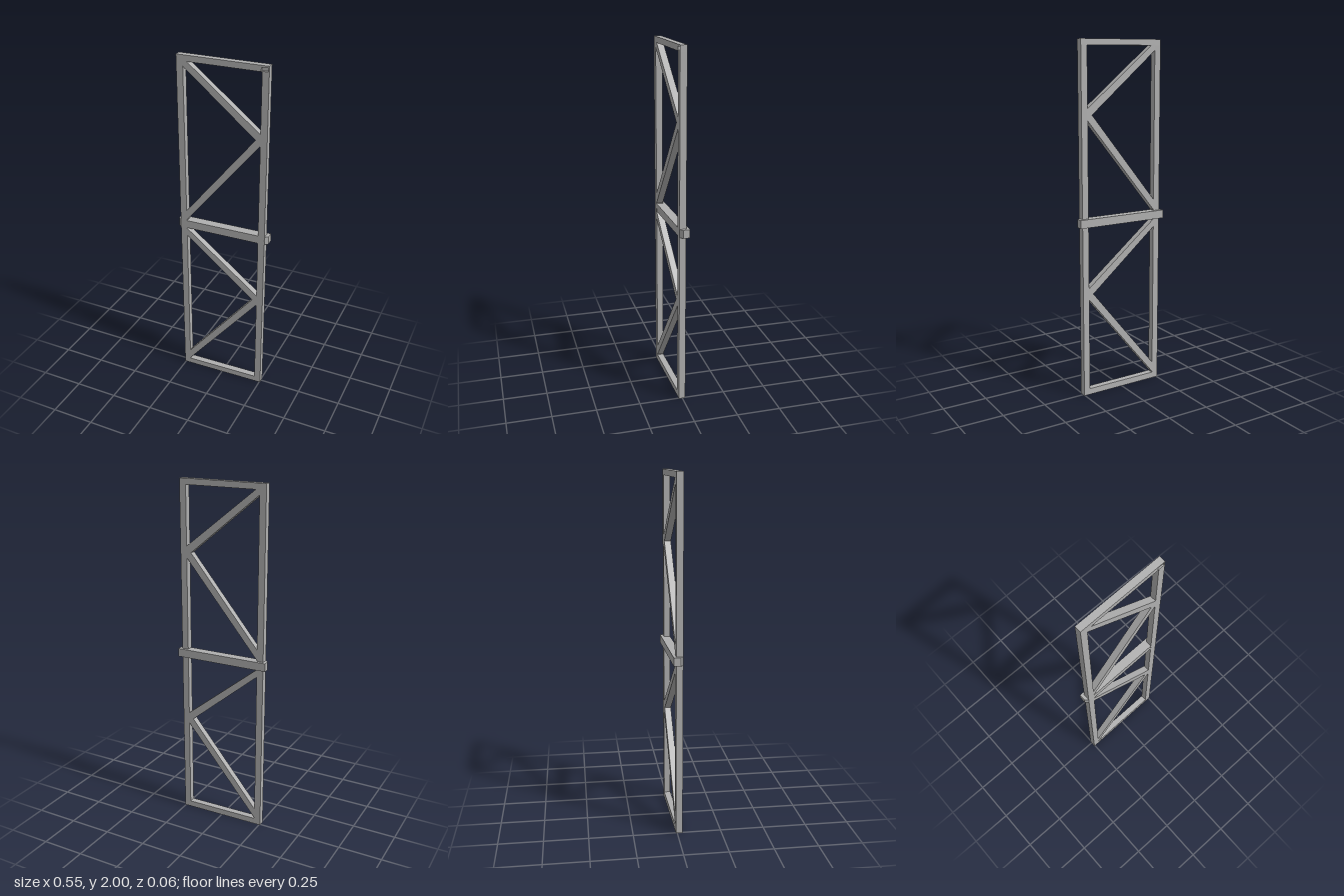
import * as THREE from 'three';

const FRONT = 0.0255, DEPTH = 0.0375;

export function createModel() {
  const grey = new THREE.MeshStandardMaterial({ color: 0xb0b0b0 });
  grey.name = 'steel grey';
  const model = new THREE.Group();
  model.name = 'bracedFrame';

  const toShape = (pts) => new THREE.Shape(pts.map(([x, y]) => new THREE.Vector2(x, y)));
  const rect = (x0, y0, x1, y1) => [[x0, y0], [x1, y0], [x1, y1], [x0, y1]];

  function add(name, geometry) {
    const mesh = new THREE.Mesh(geometry, grey);
    mesh.name = name;
    model.add(mesh);
  }

  // Flat bar cut from a front outline, with the frame's common depth
  function bar(name, pts, hole) {
    const shape = toShape(pts);
    if (hole) shape.holes.push(toShape(hole));
    const g = new THREE.ExtrudeGeometry(shape, { depth: DEPTH, bevelEnabled: false });
    g.translate(0, 0, FRONT - DEPTH);
    add(name, g);
  }

  // Posts and end rails
  bar('rightPost', rect(-0.256, 0, -0.218, 1.967));
  bar('leftPost', rect(0.217, 0, 0.255, 1.967));
  bar('bottomRail', rect(-0.218, 0, 0.217, 0.035));
  const socket = rect(0.212, 1.97, 0.25, 1.99);
  bar('topRail', rect(-0.256, 1.967, 0.255, 2), socket);

  // Floor of the small socket in the top corner
  const floor = new THREE.BoxGeometry(0.038, 0.02, 0.024);
  floor.translate(0.231, 1.98, FRONT - DEPTH + 0.012);
  add('socketFloor', floor);

  // Two bays of diagonal braces meeting at the left post
  for (const y of [0, 1]) {
    const lift = (pts) => pts.map(([px, py]) => [px, py + y]);
    bar('upperBrace', lift([[-0.218, 0.985], [-0.218, 0.94], [0.19, 0.6], [0.217, 0.6], [0.217, 0.635]]));
    bar('lowerBrace', lift([[-0.218, 0.1], [-0.218, 0.04], [0.217, 0.57], [0.217, 0.6], [0.19, 0.6]]));
  }

  // Middle rail, projecting behind and past the posts with chamfered ends
  const plan = [[-0.274, 0.028], [-0.274, -0.01], [-0.256, -0.025], [0.256, -0.025], [0.274, -0.01], [0.274, 0.028]];
  const rail = new THREE.ExtrudeGeometry(toShape(plan), { depth: 0.047, bevelEnabled: false });
  rail.rotateX(-Math.PI / 2);
  rail.translate(0, 0.988, 0);
  add('middleRail', rail);

  // The whole frame stands very slightly turned
  model.rotation.y = 0.0183;
  return model;
}
